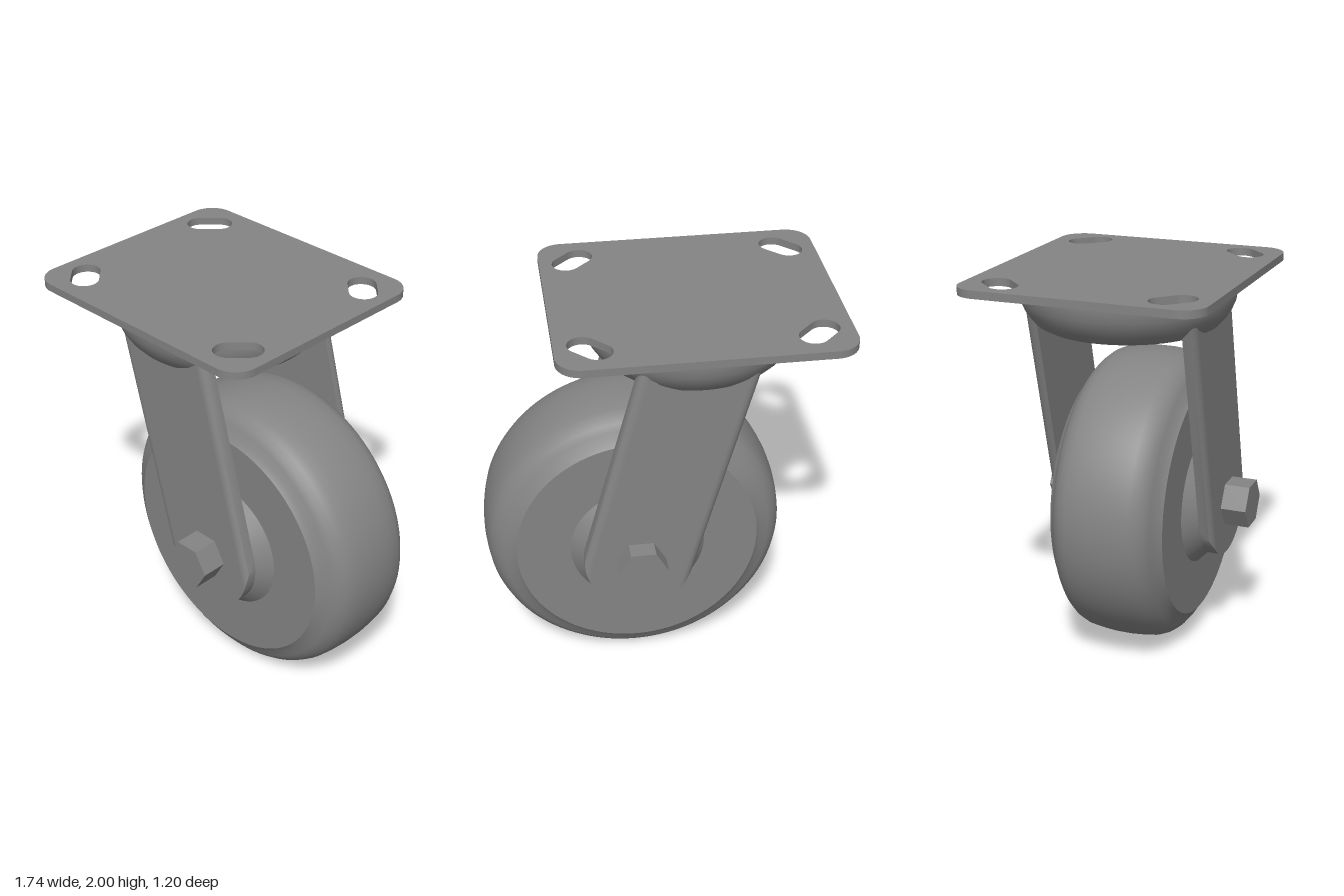
import * as THREE from 'three';
import { toCreasedNormals } from 'three/addons/utils/BufferGeometryUtils.js';

const AXLE = new THREE.Vector3(0.114, 0.758, 0);
const TILT = 0.26;

export function createModel() {
  const root = new THREE.Group();
  root.name = 'casterWheel';
  const material = new THREE.MeshStandardMaterial({ color: 0x848484 });

  function add(name, geometry, x = 0, y = 0, z = 0) {
    const mesh = new THREE.Mesh(geometry, material);
    mesh.name = name;
    mesh.position.set(x, y, z);
    root.add(mesh);
    return mesh;
  }
  const lathe = (points, segments) => toCreasedNormals(
    new THREE.LatheGeometry(points.map(([r, h]) => new THREE.Vector2(r, h)), segments), 0.5);

  // Mounting plate: rounded rectangle with four diagonal bolt slots
  const x0 = -0.872, x1 = 0.502, d = 0.598, r = 0.12;
  const plate = new THREE.Shape();
  plate.absarc(x1 - r, d - r, r, 0, Math.PI / 2);
  plate.absarc(x0 + r, d - r, r, Math.PI / 2, Math.PI);
  plate.absarc(x0 + r, -d + r, r, Math.PI, Math.PI * 1.5);
  plate.absarc(x1 - r, -d + r, r, Math.PI * 1.5, Math.PI * 2);
  plate.closePath();
  for (const sx of [-1, 1]) {
    for (const sy of [-1, 1]) {
      const cx = -0.184 + sx * 0.521, cy = sy * 0.418, o = 0.033;
      const a = sx * sy > 0 ? -Math.PI / 4 : Math.PI / 4;
      const ux = o, uy = Math.sign(a) * o;
      const slot = new THREE.Path();
      slot.absarc(cx + ux, cy + uy, 0.069, a - Math.PI / 2, a + Math.PI / 2);
      slot.absarc(cx - ux, cy - uy, 0.069, a + Math.PI / 2, a + Math.PI * 1.5);
      slot.closePath();
      plate.holes.push(slot);
    }
  }
  const plateGeo = new THREE.ExtrudeGeometry(plate, { depth: 0.038, bevelEnabled: false, curveSegments: 14 });
  plateGeo.rotateX(-Math.PI / 2);
  add('mountingPlate', toCreasedNormals(plateGeo, 0.5), 0, 1.962, 0);

  // Swivel housing: shallow bowl under the plate
  add('swivelHousing', lathe([
    [0, 1.732], [0.41, 1.732], [0.445, 1.75], [0.475, 1.782], [0.5, 1.82],
    [0.517, 1.86], [0.525, 1.91], [0.525, 1.965],
  ], 72), -0.185, 0, 0);

  // Fork legs: rounded outer edges, square-cut round lower end
  for (const side of [1, -1]) {
    const leg = legGeometry(0.28, 1.11, side * TILT, 0.366, 0.43, 0.045);
    if (side < 0) leg.rotateY(Math.PI);
    leg.rotateZ(TILT);
    add(side > 0 ? 'frontForkLeg' : 'backForkLeg', leg, AXLE.x, AXLE.y, 0);
  }

  // Wheel: tyre and hub each turned around the axle
  const mirrored = half => [...half, ...half.slice().reverse().map(([a, h]) => [a, -h])];
  const tyre = lathe(mirrored([
    [0.58, -0.294], [0.609, -0.294], [0.635, -0.267], [0.674, -0.252], [0.702, -0.23],
    [0.726, -0.2], [0.742, -0.162], [0.751, -0.1], [0.756, -0.04],
  ]), 96);
  add('tyre', tyre.rotateX(Math.PI / 2), AXLE.x, AXLE.y, 0);
  const hub = lathe(mirrored([[0, -0.36], [0.27, -0.36], [0.338, -0.294], [0.6, -0.294]]), 96);
  add('hub', hub.rotateX(Math.PI / 2), AXLE.x, AXLE.y, 0);

  // Axle with a hexagonal head and nut
  add('axle', new THREE.CylinderGeometry(0.075, 0.075, 0.84, 32).rotateX(Math.PI / 2), AXLE.x, AXLE.y, 0);
  const hex = length => toCreasedNormals(
    new THREE.CylinderGeometry(0.125, 0.125, length, 6).rotateY(Math.PI / 6).rotateX(Math.PI / 2), 0.3);
  add('boltHead', hex(0.14), AXLE.x, AXLE.y, 0.49);
  add('axleNut', hex(0.1), AXLE.x, AXLE.y, -0.47);

  return root;
}

// Bar of half-width w, lofted across its width from four-point loops;
// the top is cut so that it lies level at the given height once tilted
function legGeometry(w, height, tilt, inner, outer, fillet) {
  const n = 64, positions = [], index = [];
  for (let i = 0; i <= n; i++) {
    const t = -Math.PI / 2 + Math.PI * i / n;
    const u = w * Math.sin(t), bottom = -w * Math.cos(t);
    const top = (height - u * Math.sin(tilt)) / Math.cos(tilt);
    const e = Math.max(0, Math.abs(u) - (w - fillet));
    const face = outer - fillet + Math.sqrt(Math.max(0, fillet * fillet - e * e));
    positions.push(u, top, face, u, bottom, face, u, bottom, inner, u, top, inner);
    if (i === n) break;
    for (let k = 0; k < 4; k++) {
      const a = i * 4 + k, b = i * 4 + (k + 1) % 4;
      index.push(a, b, b + 4, a, b + 4, a + 4);
    }
  }
  const m = n * 4;
  index.push(0, 3, 2, 0, 2, 1, m, m + 1, m + 2, m, m + 2, m + 3);
  const geometry = new THREE.BufferGeometry();
  geometry.setAttribute('position', new THREE.Float32BufferAttribute(positions, 3));
  geometry.setIndex(index);
  return toCreasedNormals(geometry, 0.6);
}
